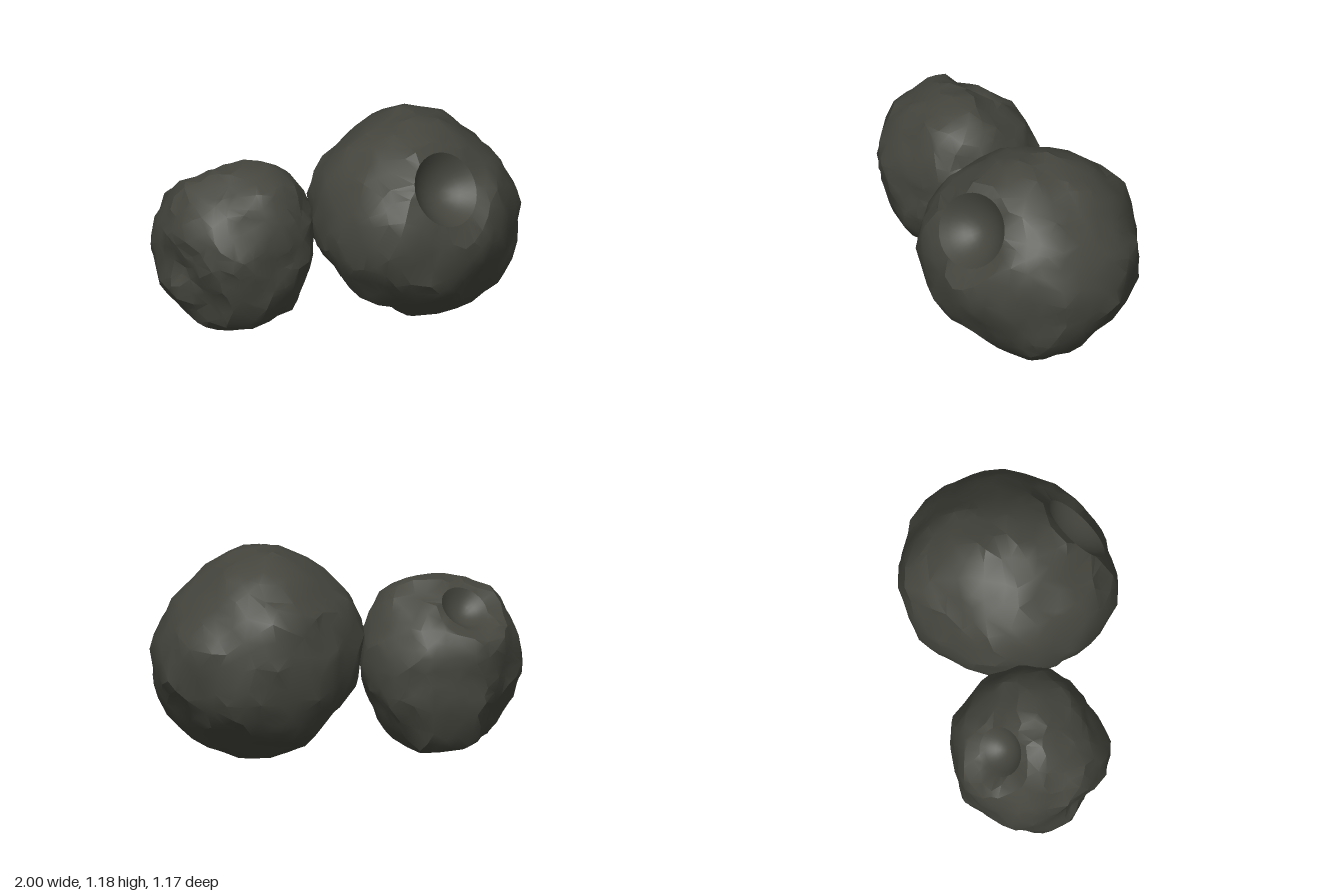
import * as THREE from 'three';
import { toCreasedNormals } from 'three/addons/utils/BufferGeometryUtils.js';
import { ConvexGeometry } from 'three/addons/geometries/ConvexGeometry.js';

const V = (x, y, z) => new THREE.Vector3(x, y, z);
const RAD = Math.PI / 180;

// Small seeded generator
function seeded(s) {
  return () => (s = (s * 16807) % 2147483647) / 2147483647;
}

// Smooth value noise in -1..1
function hash(x, y, z, seed) {
  const h = Math.sin(x * 127.1 + y * 311.7 + z * 74.7 + seed * 53.3) * 43758.5453;
  return (h - Math.floor(h)) * 2 - 1;
}
function noise(p, seed) {
  const cell = [p.x, p.y, p.z].map(Math.floor);
  const f = [p.x - cell[0], p.y - cell[1], p.z - cell[2]].map((t) => t * t * (3 - 2 * t));
  let sum = 0;
  for (let i = 0; i < 8; i++) {
    const c = [i & 1, (i >> 1) & 1, i >> 2];
    const w = c.reduce((acc, k, a) => acc * (k ? f[a] : 1 - f[a]), 1);
    sum += w * hash(cell[0] + c[0], cell[1] + c[1], cell[2] + c[2], seed);
  }
  return sum;
}

// Planes of the six cross-sections: azimuth from +z towards +x, and elevation
const PLANES = [[0, 0], [90, 0], [0, 90], [35, 22], [215, 22], [135, -25]];

// Cross-section radii (every 30 degrees) become guide points around the rock
function guidePoints(sections) {
  return sections.flatMap((radii, s) => {
    const [az, el] = PLANES[s].map((a) => a * RAD);
    const right = V(Math.cos(az), 0, -Math.sin(az));
    const up = V(-Math.sin(az) * Math.sin(el), Math.cos(el), -Math.cos(az) * Math.sin(el));
    return radii.map((r, i) => {
      const t = i * 30 * RAD;
      return { r, dir: right.clone().multiplyScalar(Math.cos(t)).addScaledVector(up, Math.sin(t)) };
    });
  });
}

// Radius in any direction, blended from the nearby guide points
function guidedRadius(d, guides) {
  let sum = 0, total = 0;
  for (const g of guides) {
    const w = Math.exp((d.dot(g.dir) - 1) * 32);
    sum += w * g.r;
    total += w;
  }
  return sum / total;
}

// Where direction d meets the plane of the crater rim; s is 1 on the rim
function onRimPlane(d, crater) {
  const facing = d.dot(crater.normal);
  if (facing < 0.1) return { s: Infinity };
  const point = d.clone().multiplyScalar(crater.center.dot(crater.normal) / facing);
  return { point, s: point.distanceTo(crater.center) / crater.radius };
}

// Directions over the sphere: jittered outside the crater, neat rings inside it
function directions(count, crater, rand) {
  const pts = [];
  for (let i = 0; i < count; i++) {
    const y = 1 - (2 * (i + 0.5)) / count;
    const r = Math.sqrt(1 - y * y);
    const a = i * 2.39996;
    const p = V(r * Math.cos(a), y, r * Math.sin(a));
    p.add(V(rand() - 0.5, rand() - 0.5, rand() - 0.5).multiplyScalar(0.1)).normalize();
    if (onRimPlane(p, crater).s > 1.2) pts.push(p);
  }
  const turn = new THREE.Quaternion().setFromUnitVectors(V(0, 1, 0), crater.normal);
  const rings = 6;
  for (let k = 1; k <= rings; k++) {
    const r = (crater.radius * k) / rings;
    const n = [8, 16, 32][Math.min(k, 3) - 1];
    for (let j = 0; j < n; j++) {
      const t = ((j + (k % 2) * 0.5) / n) * Math.PI * 2;
      pts.push(V(r * Math.cos(t), 0, r * Math.sin(t)).applyQuaternion(turn).add(crater.center).normalize());
    }
  }
  pts.push(crater.center.clone().normalize());
  return pts;
}

// Lumpy rock with one bowl crater
function rockGeometry({ sections, crater, rough, count, seed }) {
  const guides = guidePoints(sections);
  const geo = new ConvexGeometry(directions(count, crater, seeded(seed)));
  const pos = geo.attributes.position;
  const d = V(0, 0, 0);
  for (let i = 0; i < pos.count; i++) {
    d.fromBufferAttribute(pos, i).normalize();
    const { point, s } = onRimPlane(d, crater);
    if (s <= 1.002) {
      // Bowl
      d.copy(point).addScaledVector(crater.normal, -crater.depth * Math.max(0, 1 - s * s));
    } else {
      // Lumps, blended into the rim
      let r = guidedRadius(d, guides);
      r += rough * noise(d.clone().multiplyScalar(3.6).addScalar(7.3), seed);
      r += rough * noise(d.clone().multiplyScalar(6.6).addScalar(3.7), seed + 1);
      if (s < 1.7) r = THREE.MathUtils.lerp(point.length(), r, THREE.MathUtils.smoothstep(s, 0.9, 1.7));
      d.multiplyScalar(r);
    }
    pos.setXYZ(i, d.x, d.y, d.z);
  }
  geo.deleteAttribute('normal');
  return toCreasedNormals(geo, 0.45);
}

export function createModel() {
  const group = new THREE.Group();
  group.name = 'doubleAsteroid';
  const stone = new THREE.MeshStandardMaterial({ color: 0x45453e });
  stone.name = 'darkStone';

  // Large lobe with the wide crater on its upper front
  const large = new THREE.Mesh(rockGeometry({
    rough: 0.017, count: 560, seed: 11,
    crater: {
      center: V(0.05, 0.318, 0.385), normal: V(0.37, 0.52, 0.77).normalize(), radius: 0.205, depth: 0.12,
    },
    sections: [
      [0.572, 0.53, 0.535, 0.575, 0.585, 0.605, 0.585, 0.52, 0.505, 0.585, 0.575, 0.585],
      [0.592, 0.628, 0.605, 0.59, 0.59, 0.577, 0.575, 0.555, 0.52, 0.585, 0.56, 0.59],
      [0.572, 0.61, 0.592, 0.6, 0.615, 0.588, 0.592, 0.588, 0.617, 0.54, 0.545, 0.525],
      [0.59, 0.58, 0.597, 0.585, 0.565, 0.59, 0.59, 0.53, 0.525, 0.56, 0.575, 0.54],
      [0.59, 0.61, 0.59, 0.56, 0.52, 0.543, 0.588, 0.59, 0.53, 0.594, 0.53, 0.57],
      [0.555, 0.565, 0.575, 0.565, 0.53, 0.525, 0.53, 0.52, 0.51, 0.52, 0.52, 0.54],
    ],
  }), stone);
  large.name = 'largeRock';
  large.position.set(0.42, 0.6, 0);

  // Small lobe with the narrow crater on its upper back
  const small = new THREE.Mesh(rockGeometry({
    rough: 0.017, count: 520, seed: 29,
    crater: {
      center: V(-0.09, 0.33, -0.19), normal: V(-0.27, 0.74, -0.62).normalize(), radius: 0.135, depth: 0.075,
    },
    sections: [
      [0.43, 0.465, 0.505, 0.465, 0.48, 0.44, 0.42, 0.44, 0.475, 0.465, 0.51, 0.435],
      [0.42, 0.44, 0.46, 0.465, 0.45, 0.42, 0.42, 0.42, 0.44, 0.47, 0.54, 0.46],
      [0.44, 0.46, 0.47, 0.4, 0.44, 0.455, 0.415, 0.37, 0.42, 0.415, 0.375, 0.43],
      [0.42, 0.44, 0.45, 0.425, 0.46, 0.465, 0.38, 0.385, 0.475, 0.45, 0.485, 0.44],
      [0.365, 0.455, 0.45, 0.465, 0.495, 0.455, 0.46, 0.48, 0.53, 0.46, 0.45, 0.435],
      [0.42, 0.47, 0.39, 0.435, 0.49, 0.44, 0.4, 0.42, 0.47, 0.475, 0.46, 0.42],
    ],
  }), stone);
  small.name = 'smallRock';
  small.position.set(-0.58, 0.52, -0.09);

  group.add(large, small);
  return group;
}
